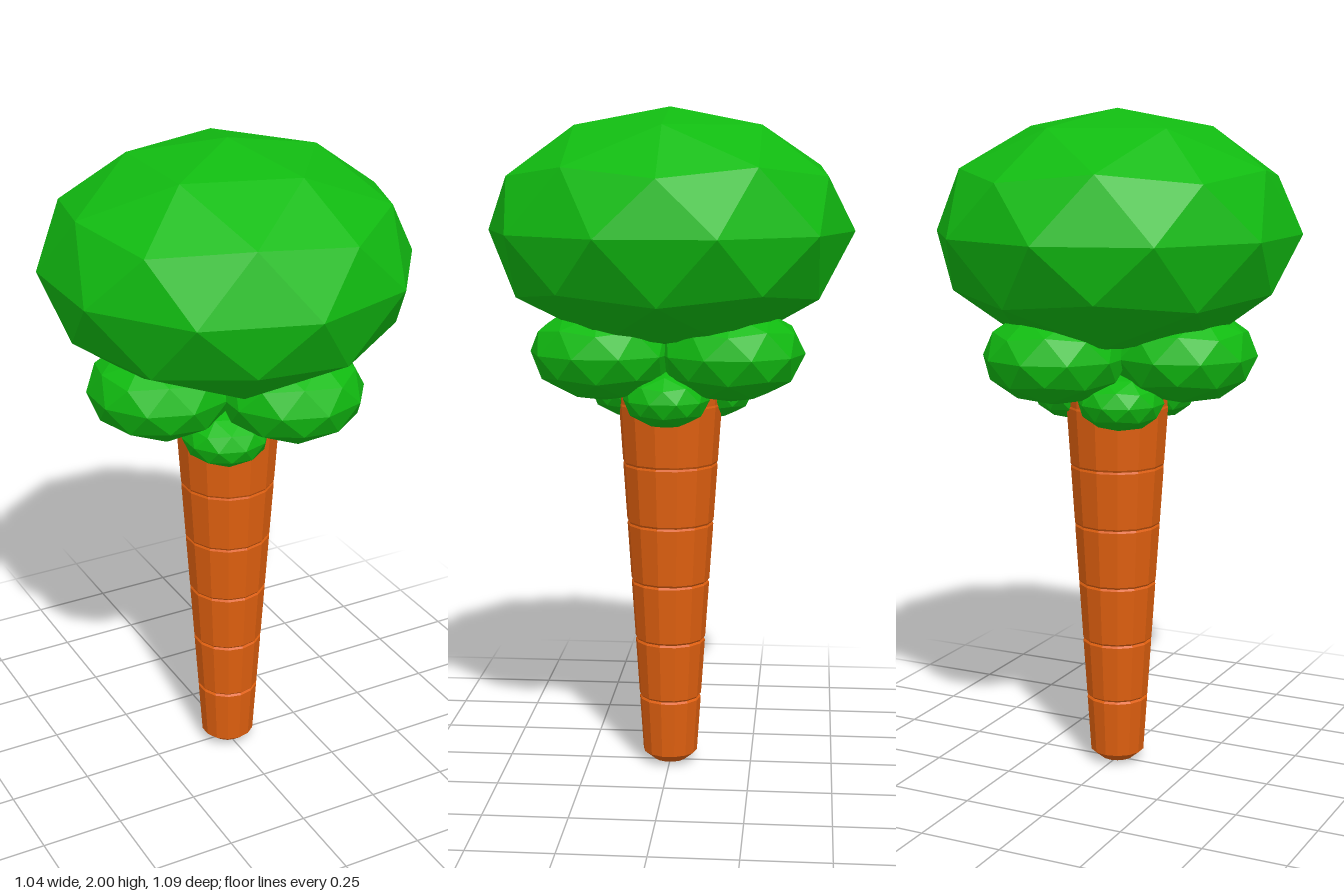
import * as THREE from 'three';

const leaf = new THREE.MeshStandardMaterial({ color: 0x11bb11, flatShading: true });
const bark = new THREE.MeshStandardMaterial({ color: 0xe0600f, flatShading: true });

// Flattened low-poly ball with one corner pointing straight up
function foliageBall(name, radius, x, y, z, spin = 0) {
  const geometry = new THREE.IcosahedronGeometry(1, 1);
  geometry.rotateZ(-Math.atan(2 / (1 + Math.sqrt(5))));
  geometry.rotateY(spin);
  geometry.scale(radius, radius * 0.66, radius);
  const mesh = new THREE.Mesh(geometry, leaf);
  mesh.name = name;
  mesh.position.set(x, y, z);
  return mesh;
}

// Ring of three balls around the trunk
function foliageRing(name, radius, distance, y, startAngle) {
  const ring = new THREE.Group();
  ring.name = name;
  for (let i = 0; i < 3; i++) {
    const a = startAngle + (i * Math.PI * 2) / 3;
    ring.add(foliageBall(name + 'Ball', radius, distance * Math.cos(a), y, distance * Math.sin(a)));
  }
  return ring;
}

// Trunk widening upwards in six sections, with a narrow groove at each joint
function makeTrunk() {
  const profile = [new THREE.Vector2(0, 0), new THREE.Vector2(0.05, 0.008)];
  const step = 0.183;
  for (let i = 0; i < 6; i++) {
    const y = 0.035 + i * step;
    const r = 0.083 + i * 0.0122;
    const groove = 0.005 - i * 0.0006;
    profile.push(
      new THREE.Vector2(r, y),
      new THREE.Vector2(r + 0.0115, y + step - 0.012),
      new THREE.Vector2(r + 0.0115 - groove, y + step - 0.006)
    );
  }
  profile.push(new THREE.Vector2(0.154, 1.135), new THREE.Vector2(0.156, 1.19), new THREE.Vector2(0, 1.21));
  const mesh = new THREE.Mesh(new THREE.LatheGeometry(profile, 14), bark);
  mesh.name = 'trunk';
  return mesh;
}

export function createModel() {
  const tree = new THREE.Group();
  tree.name = 'tree';
  tree.add(
    makeTrunk(),
    foliageBall('crown', 0.545, 0, 1.64, 0),
    foliageRing('middleFoliage', 0.217, 0.217, 1.29, Math.PI / 3),
    foliageRing('lowerFoliage', 0.128, 0.14, 1.155, 0)
  );
  return tree;
}
